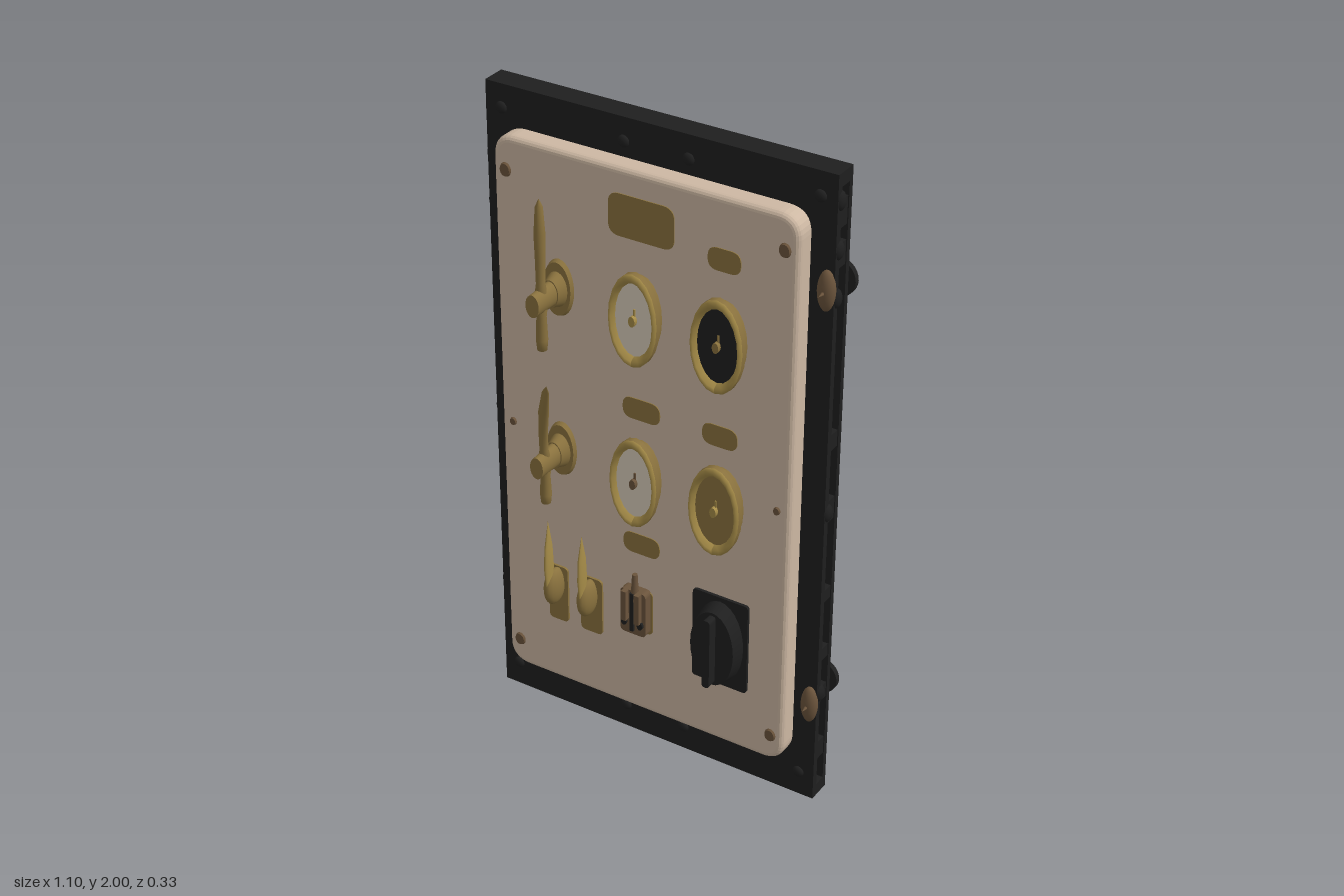
import * as THREE from 'three';

const mat = (name, color) => Object.assign(new THREE.MeshStandardMaterial({ color }), { name });

export function createModel() {
  const black = mat('blackIron', 0x1f1f1f);
  const cream = mat('creamEnamel', 0xcdb8a3);
  const pale = mat('paleDial', 0xd9cdbb);
  const brass = mat('brass', 0x8a723e);
  const gold = mat('brightBrass', 0xa68c48);
  const brown = mat('agedBronze', 0x6b543c);
  black.side = THREE.DoubleSide;

  const root = new THREE.Group();
  root.name = 'controlPanel';

  const add = (name, geo, m, x = 0, y = 0, z = 0, parent = root) => {
    const mesh = new THREE.Mesh(geo, m);
    mesh.name = name;
    mesh.position.set(x, y, z);
    parent.add(mesh);
    return mesh;
  };
  const box = (name, m, w, h, d, x, y, z, p) => add(name, new THREE.BoxGeometry(w, h, d), m, x, y, z, p);
  // elliptical disc whose axis runs along z, from z0 to z1
  const disc = (name, m, rx, ry, z0, z1, x, y, p, taper = 1) => {
    const g = new THREE.CylinderGeometry(taper, 1, z1 - z0, 28).rotateX(Math.PI / 2).scale(rx, ry, 1);
    return add(name, g, m, x, y, (z0 + z1) / 2, p);
  };
  const roundRect = (w, h, r) => {
    const s = new THREE.Shape(), a = w / 2, b = h / 2;
    s.moveTo(-a + r, -b).lineTo(a - r, -b).quadraticCurveTo(a, -b, a, -b + r);
    s.lineTo(a, b - r).quadraticCurveTo(a, b, a - r, b);
    s.lineTo(-a + r, b).quadraticCurveTo(-a, b, -a, b - r);
    s.lineTo(-a, -b + r).quadraticCurveTo(-a, -b, -a + r, -b);
    return s;
  };
  const plate = (name, m, w, h, r, z0, depth, x, y, p) =>
    add(name, new THREE.ExtrudeGeometry(roundRect(w, h, r), { depth, bevelEnabled: false, curveSegments: 6 }), m, x, y, z0, p);
  const lathe = (pts) => new THREE.LatheGeometry(pts.map(([r, y]) => new THREE.Vector2(r, y)), 20);

  // hollow backing case: two sheets, end walls and side spacers
  box('caseFront', black, 1.08, 2, 0.02, 0, 1, -0.045);
  box('caseBack', black, 1.08, 2, 0.016, 0, 1, -0.101);
  for (const y of [0.02, 1.98]) box('caseEndWall', black, 1.08, 0.04, 0.07, 0, y, -0.072);
  for (const s of [-1, 1]) {
    for (const [y, h] of [[1.88, 0.08], [1.76, 0.07], [1.2, 0.05], [0.98, 0.07], [0.7, 0.04], [0.5, 0.04], [0.36, 0.05], [0.16, 0.06]])
      box('sideSpacer', black, 0.03, h, 0.05, s * 0.522, y, -0.072);
    for (const y of [1.92, 1.78, 1.64, 0.98, 0.37])
      add('sideBump', new THREE.SphereGeometry(0.026, 12, 8).scale(0.6, 1.1, 0.8), black, s * 0.535, y, -0.055);
  }

  // raised enamel panel with soft edges
  const bevel = 0.018;
  const panel = new THREE.ExtrudeGeometry(roundRect(0.91, 1.71, 0.05), {
    depth: 0.037, bevelEnabled: true, bevelThickness: bevel, bevelSize: bevel, bevelSegments: 4, curveSegments: 8,
  });
  add('enamelPanel', panel, cream, 0, 1.018, -0.02);

  // panel screws and frame rivets
  for (const s of [-1, 1]) {
    for (const [y, r] of [[1.79, 0.02], [1, 0.012], [0.235, 0.02]])
      disc('panelScrew', brown, r, r * 1.2, 0.03, 0.041, s * 0.432, y, root, 0.75);
    for (const y of [1.93, 0.08]) for (const x of [0.1, 0.49])
      add('frameRivet', new THREE.SphereGeometry(0.018, 12, 8).scale(1, 1, 0.6), black, s * x, y, -0.035);
  }

  // flat label plates
  for (const [x, y, w, h, r] of [[0, 1.755, 0.205, 0.125, 0.035], [0.255, 1.71, 0.1, 0.066, 0.03],
    [0, 1.175, 0.12, 0.066, 0.03], [0.25, 1.175, 0.11, 0.066, 0.03], [0, 0.732, 0.12, 0.066, 0.03]])
    plate('labelPlate', brass, w, h, r, 0.032, 0.006, x, y);

  // oval gauges: flared body, bright rim, recessed face, centre pin
  for (const [x, y, face, pin] of [[0, 1.475, pale, gold], [0.26, 1.475, black, brass], [0, 0.96, pale, brown], [0.26, 0.96, brass, gold]]) {
    const g = new THREE.Group();
    g.name = 'gauge';
    g.position.set(x, y, 0);
    root.add(g);
    const sx = x ? 0.08 : 0.076;
    const body = lathe([[0.84, 0.03], [0.9, 0.05], [1, 0.062], [1, 0.08]]).rotateX(Math.PI / 2).scale(sx, 0.141, 1);
    add('gaugeBody', body, brass, 0, 0, 0, g);
    const rim = lathe([[1, 0.08], [0.96, 0.088], [0.86, 0.088], [0.77, 0.07]]).rotateX(Math.PI / 2).scale(sx, 0.141, 1);
    add('gaugeRim', rim, gold, 0, 0, 0, g);
    rim.computeVertexNormals();
    disc('gaugeFace', face, sx * 0.8, 0.113, 0.06, 0.073, 0, 0, g);
    disc('gaugePin', pin, 0.01, 0.016, 0.07, 0.086, 0, 0, g);
    box('gaugeNeedle', pin, 0.005, 0.045, 0.004, 0.003, 0.012, 0.075, g);
  }

  // large levers: oval base, hub and tapered handle
  const bladePts = [[0, -0.155], [0.014, -0.152], [0.017, -0.12], [0.014, -0.05], [0.02, 0], [0.013, 0.05], [0.014, 0.12], [0.016, 0.2], [0.011, 0.28], [0, 0.305]];
  [[1.48, false], [0.965, true]].forEach(([y, bent]) => {
    const g = new THREE.Group();
    g.name = 'lever';
    g.position.set(-0.265, y, 0);
    root.add(g);
    disc('leverBase', brass, 0.05, 0.09, 0.03, 0.048, 0, 0, g, 0.9);
    disc('leverCollar', brass, 0.036, 0.055, 0.045, 0.08, 0, 0, g, 0.75);
    disc('leverHub', brass, 0.024, 0.038, 0.07, 0.165, 0, 0, g, 0.9);
    const blade = lathe(bladePts);
    if (bent) {
      // upper part thins to a curved point
      const p = blade.attributes.position;
      for (let i = 0; i < p.count; i++) {
        const t = Math.max(0, p.getY(i) / 0.305);
        p.setXYZ(i, p.getX(i) * (1 + 0.1 * t) + 0.035 * t * t, p.getY(i) * (t ? 0.9 : 0.88), p.getZ(i) * (1 - 0.75 * t) + 0.035 * t);
      }
      blade.computeVertexNormals();
    }
    add('leverHandle', blade, brass, 0, 0, 0.122, g);
  });

  // pair of slim toggles
  for (const [x, w, top] of [[-0.285, 0.066, 0.74], [-0.17, 0.074, 0.73]]) {
    plate('togglePlate', brass, w, 0.19, 0.015, 0.03, 0.012, x, 0.462);
    add('toggleBody', new THREE.SphereGeometry(1, 16, 12).scale(0.024, 0.06, 0.045), brass, x, 0.5, 0.062);
    const stick = lathe([[0.016, 0], [0.022, 0.06], [0.018, 0.13], [0, top - 0.52]]).scale(0.4, 1, 1);
    add('toggleStick', stick, gold, x, 0.52, 0.088);
  }

  // small lock
  plate('lockPlate', brass, 0.1, 0.15, 0.02, 0.032, 0.006, -0.012, 0.505);
  plate('lockBody', brown, 0.085, 0.15, 0.015, 0.035, 0.03, -0.012, 0.51);
  for (const s of [-1, 1]) {
    disc('lockStud', black, 0.009, 0.013, 0.06, 0.073, -0.012 + s * 0.027, 0.475);
    box('lockCheek', brown, 0.016, 0.1, 0.025, -0.012 + s * 0.022, 0.535, 0.07);
  }
  box('lockSlot', black, 0.012, 0.13, 0.012, -0.012, 0.515, 0.068);
  add('lockStem', new THREE.CylinderGeometry(0.008, 0.013, 0.09, 12), brown, -0.008, 0.597, 0.06);

  // rotary selector: square plate, oval dial and grip ridge
  plate('selectorPlate', black, 0.18, 0.3, 0.012, 0.032, 0.012, 0.265, 0.505);
  disc('selectorDial', black, 0.078, 0.138, 0.04, 0.088, 0.265, 0.505, root, 0.9);
  plate('selectorGrip', black, 0.024, 0.23, 0.011, 0.08, 0.04, 0.265, 0.505);

  // rear corner brackets with round feet, mirrored to four corners
  for (const sx of [-1, 1]) for (const top of [1, -1]) {
    const g = new THREE.Group();
    g.name = 'rearBracket';
    g.position.set(sx * 0.495, top > 0 ? 1.655 : 0.365, 0);
    root.add(g);
    disc('bracketDisc', black, 0.055, 0.055, -0.148, -0.132, 0, 0, g);
    disc('bracketPost', black, 0.02, 0.02, -0.135, -0.105, 0, 0, g);
    disc('bracketKnob', gold, 0.016, 0.02, -0.168, -0.146, 0, 0, g);
    box('bracketArm', black, 0.028, 0.27, 0.01, -sx * 0.012, top * 0.15, -0.139, g);
    box('bracketFoot', black, 0.1, 0.045, 0.01, -sx * 0.05, top * 0.265, -0.139, g);
    box('bracketSpacer', black, 0.03, 0.03, 0.035, -sx * 0.03, top * 0.265, -0.12, g);
  }

  // bronze latches on the left edge
  for (const y of [1.67, 0.34]) {
    add('edgeLatch', new THREE.SphereGeometry(1, 14, 10).scale(0.026, 0.06, 0.022), brown, 0.52, y, -0.03);
    const tip = add('latchTip', new THREE.ConeGeometry(0.012, 0.05, 10), brown, 0.52, y, -0.012);
    tip.rotation.x = Math.PI / 2;
  }
  return root;
}
